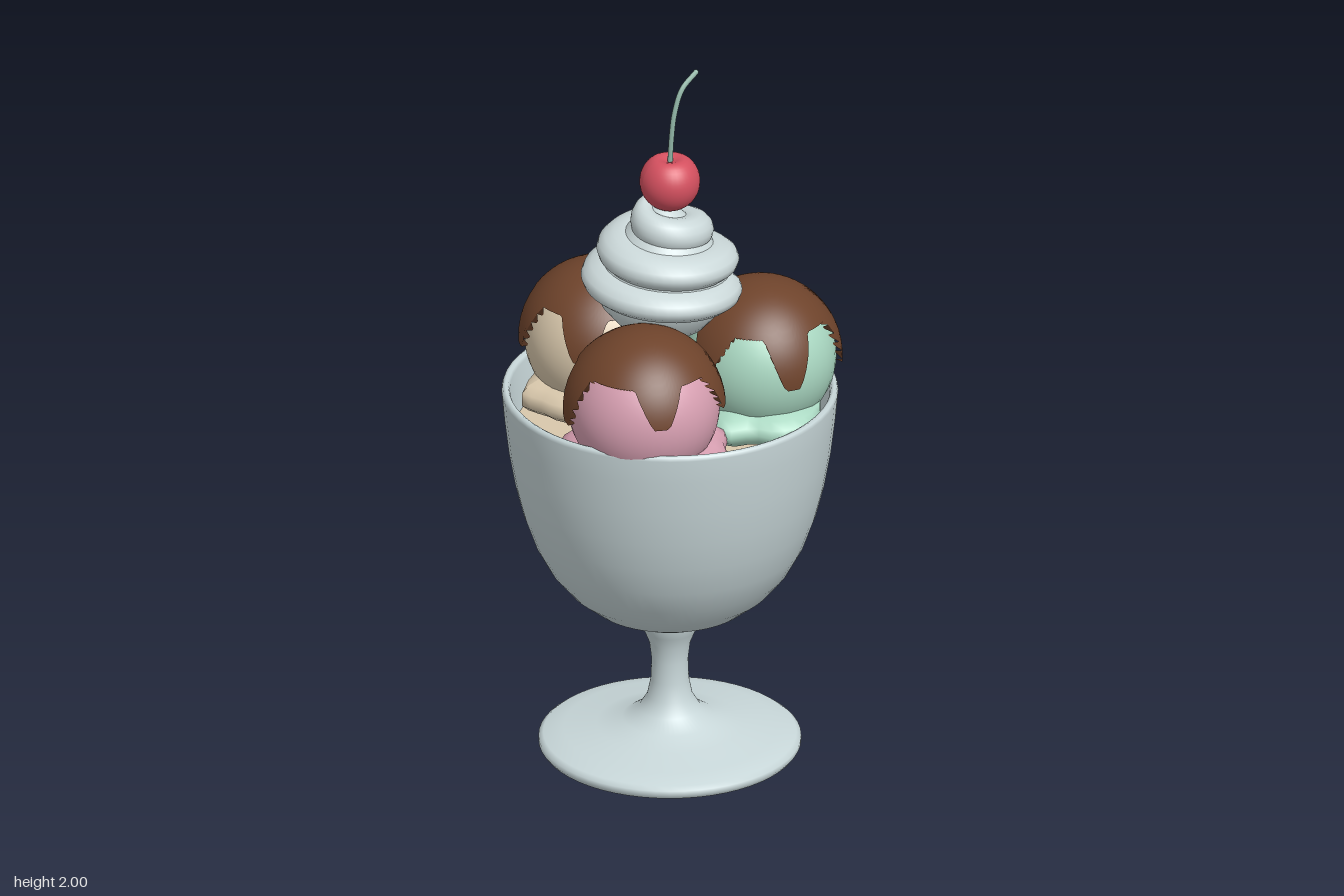
import * as THREE from 'three';
import { ParametricGeometry } from 'three/addons/geometries/ParametricGeometry.js';

const mat = (name, color) => {
  const m = new THREE.MeshStandardMaterial({ color });
  m.name = name;
  return m;
};
const v2 = (pts) => pts.map(([x, y]) => new THREE.Vector2(x, y));

// linear interpolation through evenly spaced values
function ramp(values, t) {
  const f = Math.min(Math.max(t, 0), 1) * (values.length - 1);
  const i = Math.min(Math.floor(f), values.length - 2);
  return values[i] + (values[i + 1] - values[i]) * (f - i);
}

// dome whose lower edge runs down into tapered drips at the given [angle, reach] pairs
function sauceGeometry(radius, drips) {
  const cols = 120, rows = 14;
  const g = new THREE.SphereGeometry(radius, cols, rows);
  const p = g.attributes.position, n = g.attributes.normal;
  for (let i = 0; i < p.count; i++) {
    const col = i % (cols + 1), row = Math.floor(i / (cols + 1));
    const a = (col / cols) * Math.PI * 2;
    let edge = 0.95;
    for (const [deg, reach] of drips) {
      const d = a - deg * Math.PI / 180;
      const off = Math.abs(Math.atan2(Math.sin(d), Math.cos(d)));
      const k = 1 - THREE.MathUtils.clamp((off - 0.1) / 0.26, 0, 1);
      edge = Math.max(edge, 0.95 + (reach - 0.95) * k);
    }
    // the last row tucks under to give the sauce its thickness
    const theta = edge * Math.min(row / (rows - 1), 1);
    const r = row === rows ? radius - 0.022 : radius;
    const dir = new THREE.Vector3(
      Math.sin(theta) * Math.cos(a), Math.cos(theta), Math.sin(theta) * Math.sin(a));
    n.setXYZ(i, dir.x, dir.y, dir.z);
    p.setXYZ(i, dir.x * r, dir.y * r, dir.z * r);
  }
  // angles run the other way round from the sphere's own, so reverse the faces
  const idx = g.index.array;
  for (let i = 0; i < idx.length; i += 3) [idx[i], idx[i + 1]] = [idx[i + 1], idx[i]];
  return g;
}

// ragged foot of a scoop, kept within the bowl
function skirtGeometry(cx, cz, seed) {
  const g = new THREE.SphereGeometry(1, 40, 12);
  const p = g.attributes.position;
  for (let i = 0; i < p.count; i++) {
    const a = Math.atan2(p.getZ(i), p.getX(i));
    const r = 0.232 + 0.012 * Math.sin(a * 7 + seed) + 0.009 * Math.sin(a * 11 + seed * 2);
    let x = cx + p.getX(i) * r, z = cz + p.getZ(i) * r;
    const d = Math.hypot(x, z), s = d > 0.41 ? 0.41 / d : 1;
    p.setXYZ(i, x * s - cx, p.getY(i) * 0.075, z * s - cz);
  }
  g.computeVertexNormals();
  return g;
}

export function createModel() {
  const model = new THREE.Group();
  model.name = 'iceCreamSundae';
  const glass = mat('glass', 0xc8d7d9);
  const whipped = mat('whippedCream', 0xcbd8d9);
  const pink = mat('strawberryIce', 0xd8a0b2);
  const mint = mat('mintIce', 0xaad8c2);
  const vanilla = mat('vanillaIce', 0xd9c8ac);
  const chocolate = mat('chocolateSauce', 0x6e432b);
  const red = mat('cherryRed', 0xd4505f);
  const green = mat('stemGreen', 0x8fb3a4);

  const add = (name, geometry, material, parent = model, pos = [0, 0, 0]) => {
    const mesh = new THREE.Mesh(geometry, material);
    mesh.name = name;
    mesh.position.set(...pos);
    parent.add(mesh);
    return mesh;
  };

  // footed glass: foot, stem, bowl, rim and inside in one profile
  add('glassCup', new THREE.LatheGeometry(v2([
    [0, 0], [0.345, 0], [0.35, 0.001], [0.358, 0.012], [0.358, 0.026], [0.345, 0.036],
    [0.29, 0.05], [0.2, 0.064], [0.13, 0.083], [0.085, 0.112], [0.062, 0.15], [0.052, 0.2],
    [0.05, 0.26], [0.056, 0.31], [0.07, 0.345], [0.08, 0.37], [0.082, 0.39],
    [0.1, 0.393], [0.16, 0.41], [0.22, 0.44], [0.28, 0.489], [0.33, 0.55], [0.37, 0.625],
    [0.4, 0.71], [0.423, 0.8], [0.441, 0.9], [0.453, 1.0], [0.459, 1.07],
    [0.456, 1.08], [0.448, 1.084], [0.44, 1.08], [0.436, 1.07],
    [0.43, 1.0], [0.418, 0.9], [0.39, 0.75], [0.33, 0.6], [0.2, 0.46], [0, 0.42],
  ]), 56), glass);

  // melted ice cream in the bowl
  add('bowlFilling', new THREE.CylinderGeometry(0.424, 0.416, 0.05, 48), vanilla, model, [0, 0.925, 0]);

  // three scoops with dripping sauce
  const scoops = [
    ['strawberry', pink, -0.175, 0.2, [[34, 1.5], [103, 1.45], [188, 1.66], [250, 1.5], [322, 1.6]]],
    ['mint', mint, 0.25, 0.05, [[23, 1.66], [92, 1.62], [160, 1.45], [232, 1.5], [303, 1.6]]],
    ['vanilla', vanilla, -0.09, -0.25, [[347, 1.52], [60, 1.5], [130, 1.5], [195, 1.6], [270, 1.66]]],
  ];
  scoops.forEach(([name, material, x, z, drips], i) => {
    const scoop = new THREE.Group();
    scoop.name = name + 'Scoop';
    scoop.position.set(x, 1.145, z);
    model.add(scoop);
    add(name + 'Ball', new THREE.SphereGeometry(0.207, 40, 28), material, scoop);
    add(name + 'Skirt', skirtGeometry(x, z, 1 + i * 2.1), material, scoop, [0, -0.145, 0]);
    add(name + 'Sauce', sauceGeometry(0.224, drips), chocolate, scoop);
  });

  // whipped cream: a ribbon winding up around a soft core
  const cream = new THREE.Group();
  cream.name = 'whippedCream';
  cream.position.set(-0.018, 0, -0.005);
  model.add(cream);
  const start = -Math.PI * 0.3, end = Math.PI * 6;
  const radii = [0.2, 0.225, 0.225, 0.215, 0.2, 0.18, 0.15, 0.115, 0.08, 0.05];
  const ribbon = (u, v, target) => {
    const a = start + (end - start) * u, b = v * Math.PI * 2;
    const taper = Math.max(0.02, Math.min(1, u * 16, (1 - u) * 16));
    const outer = ramp(radii, u), depth = outer * 0.42 * taper;
    const r = outer - outer * 0.42 + depth * Math.cos(b);
    const y = 1.375 + 0.085 * a / (Math.PI * 2) - 0.05 * taper * Math.sin(b);
    target.set(Math.cos(a) * r, y, Math.sin(a) * r);
  };
  add('creamSwirl', new ParametricGeometry(ribbon, 150, 16), whipped, cream);
  add('creamCore', new THREE.LatheGeometry(v2([
    [0, 1.26], [0.12, 1.28], [0.17, 1.34], [0.185, 1.4], [0.165, 1.47],
    [0.12, 1.54], [0.06, 1.6], [0.03, 1.63], [0, 1.635],
  ]), 36), whipped, cream);

  // cherry with a dimpled top
  const cherry = new THREE.SphereGeometry(0.083, 36, 24);
  const cp = cherry.attributes.position;
  for (let i = 0; i < cp.count; i++) {
    const r = Math.hypot(cp.getX(i), cp.getZ(i));
    if (cp.getY(i) > 0) cp.setY(i, cp.getY(i) - 0.025 * Math.exp(-((r / 0.03) ** 2)));
  }
  cherry.computeVertexNormals();
  add('cherry', cherry, red, model, [0, 1.7, 0]);

  // curved cherry stem
  const path = new THREE.CatmullRomCurve3([
    [0, 1.745, 0], [0.006, 1.83, -0.002], [0.018, 1.9, -0.007],
    [0.045, 1.96, -0.017], [0.096, 1.993, -0.036],
  ].map((p) => new THREE.Vector3(...p)));
  add('cherryStem', new THREE.TubeGeometry(path, 24, 0.0075, 8), green);
  add('cherryStemTip', new THREE.SphereGeometry(0.0075, 10, 8), green, model, [0.096, 1.993, -0.036]);

  return model;
}
